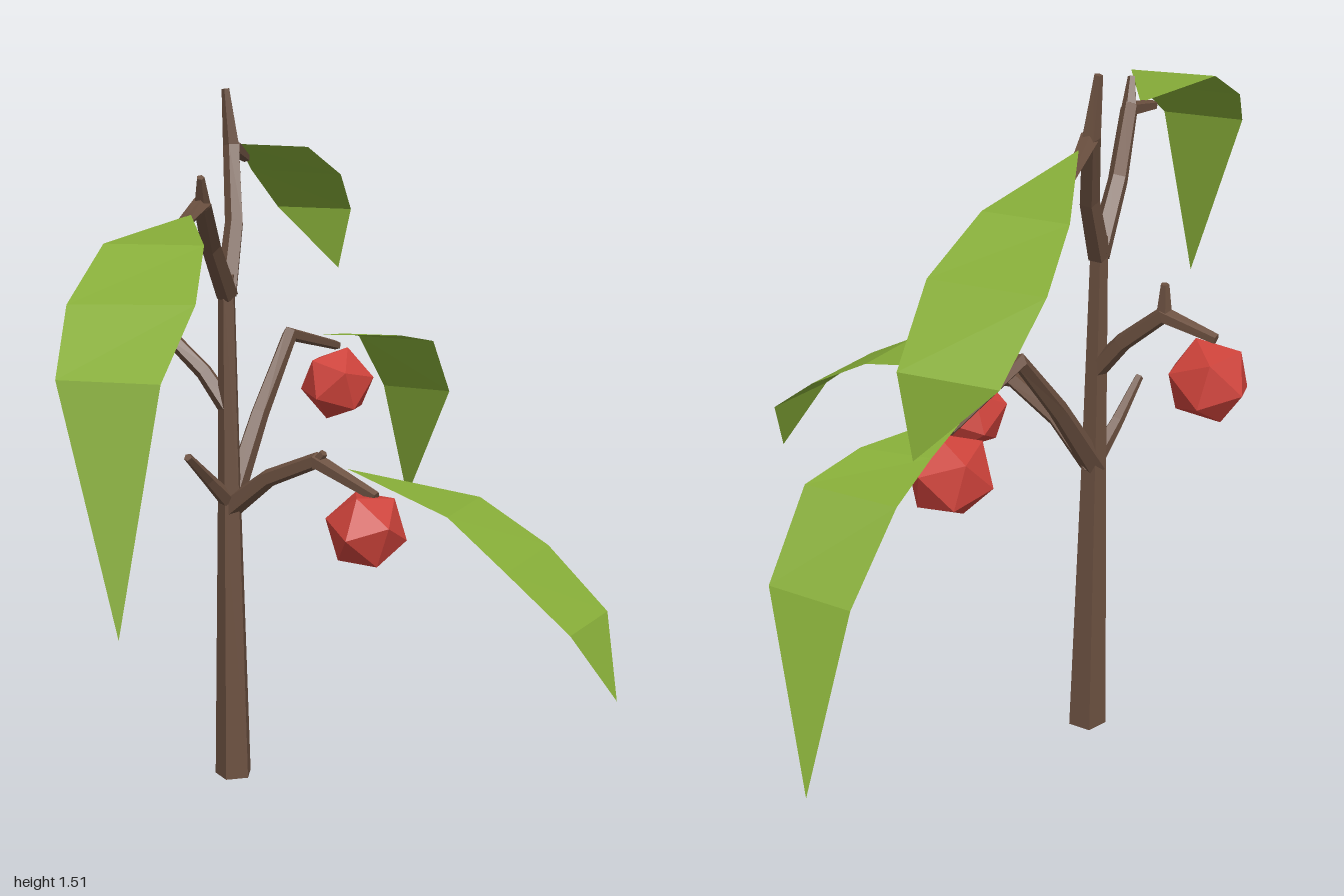
import * as THREE from 'three';

const V = (p) => new THREE.Vector3(...p);
const bark = new THREE.MeshStandardMaterial({ color: 0x6b5040, flatShading: true });
const leafGreen = new THREE.MeshStandardMaterial({ color: 0x86ac38, flatShading: true, side: THREE.DoubleSide });
const fruitRed = new THREE.MeshStandardMaterial({ color: 0xcc423a, flatShading: true });

function geometryFrom(positions, index) {
  const indexed = new THREE.BufferGeometry();
  indexed.setAttribute('position', new THREE.Float32BufferAttribute(positions, 3));
  indexed.setIndex(index);
  const geo = indexed.toNonIndexed();
  geo.computeVertexNormals();
  return geo;
}

// Tapered, capped five-sided limb; each point is [x, y, z, radius]
function limb(points, sides = 5) {
  const pts = points.map((p) => V(p.slice(0, 3)));
  const n = pts.length;
  const span = pts[n - 1].clone().sub(pts[0]);
  const ref = new THREE.Vector3(span.z, 0, -span.x);
  if (ref.length() < 0.02) ref.set(0, 0, 1);
  const pos = [], index = [];
  pts.forEach((p, i) => {
    const before = i ? p.clone().sub(pts[i - 1]).normalize() : new THREE.Vector3();
    const after = i < n - 1 ? pts[i + 1].clone().sub(p).normalize() : new THREE.Vector3();
    const t = before.add(after).normalize();
    const u = ref.clone().addScaledVector(t, -ref.dot(t)).normalize();
    const v = t.clone().cross(u);
    for (let k = 0; k < sides; k++) {
      const a = (k / sides) * Math.PI * 2, r = points[i][3];
      const q = p.clone().addScaledVector(u, Math.cos(a) * r).addScaledVector(v, Math.sin(a) * r);
      pos.push(q.x, q.y, q.z);
      const a0 = i * sides + k, a1 = i * sides + ((k + 1) % sides);
      if (i < n - 1) index.push(a0, a1, a0 + sides, a1, a1 + sides, a0 + sides);
    }
  });
  const last = (n - 1) * sides;
  for (let k = 1; k < sides - 1; k++) {
    index.push(0, k + 1, k, last, last + k, last + k + 1);
  }
  return geometryFrom(pos, index);
}

// Leaf blade: a stem point, pairs of edge points [left, right], and a tip
function leaf(stem, pairs, tip) {
  const pos = [...stem, ...pairs.flat(2), ...tip];
  const index = [0, 1, 2];
  const m = pairs.length;
  for (let i = 0; i < m - 1; i++) {
    const a = 1 + i * 2;
    index.push(a, a + 2, a + 1, a + 1, a + 2, a + 3);
  }
  index.push(m * 2 - 1, m * 2 + 1, m * 2);
  return geometryFrom(pos, index);
}

export function createModel() {
  const tree = new THREE.Group();
  tree.name = 'fruitTree';
  const add = (name, geo, mat) => {
    const mesh = new THREE.Mesh(geo, mat);
    mesh.name = name;
    tree.add(mesh);
    return mesh;
  };

  // Trunk and branches
  const limbs = {
    trunk: [[-0.3, 0, 0.005, 0.042], [-0.3, 0.63, 0.005, 0.027], [-0.3, 1.13, 0.005, 0.018]],
    rightBranch: [[-0.3, 0.62, 0.005, 0.026], [-0.2, 0.7, 0.025, 0.02], [-0.08, 0.755, 0.045, 0.019], [0.07, 0.7, 0.08, 0.012]],
    rightBranchTwig: [[-0.085, 0.745, 0.045, 0.015], [-0.06, 0.775, 0.05, 0.009]],
    leftBranch: [[-0.3, 0.84, 0.005, 0.022], [-0.36, 0.915, 0, 0.019], [-0.45, 0.995, 0, 0.019], [-0.565, 0.968, 0, 0.011]],
    leftBranchTwig: [[-0.45, 0.985, 0, 0.018], [-0.45, 1.06, 0, 0.009]],
    lowBackBranch: [[-0.3, 0.62, 0.01, 0.026], [-0.29, 0.8, -0.13, 0.021], [-0.275, 0.955, -0.265, 0.018], [-0.25, 0.89, -0.48, 0.011]],
    frontBranch: [[-0.3, 1.09, 0.005, 0.024], [-0.28, 1.21, 0.12, 0.021], [-0.235, 1.315, 0.25, 0.019], [-0.22, 1.283, 0.39, 0.011]],
    frontBranchTwig: [[-0.235, 1.31, 0.25, 0.018], [-0.22, 1.372, 0.285, 0.008]],
    highBackBranch: [[-0.3, 1.09, 0.005, 0.024], [-0.315, 1.23, -0.07, 0.021], [-0.355, 1.385, -0.145, 0.019], [-0.365, 1.505, -0.14, 0.009]],
    highBackTwig: [[-0.35, 1.38, -0.14, 0.019], [-0.38, 1.343, -0.27, 0.01]],
    trunkStub: [[-0.3, 0.63, 0.005, 0.02], [-0.315, 0.7, 0.08, 0.014], [-0.32, 0.768, 0.165, 0.009]],
  };
  for (const [name, points] of Object.entries(limbs)) add(name, limb(points), bark);

  // Drooping leaves
  add('rightLeaf', leaf([0, 0.75, 0.065], [
    [[0.28, 0.71, 0.03], [0.27, 0.71, 0.2]],
    [[0.43, 0.625, 0.035], [0.41, 0.625, 0.25]],
    [[0.57, 0.515, 0.08], [0.545, 0.515, 0.255]],
  ], [0.622, 0.365, 0.18]), leafGreen);
  add('frontLeaf', leaf([-0.22, 1.305, 0.33], [
    [[-0.25, 1.29, 0.63], [-0.07, 1.29, 0.58]],
    [[-0.24, 1.205, 0.79], [-0.015, 1.21, 0.73]],
    [[-0.19, 1.1, 0.925], [-0.005, 1.1, 0.89]],
  ], [-0.04, 0.67, 1]), leafGreen);
  add('highBackLeaf', leaf([-0.365, 1.38, -0.21], [
    [[-0.33, 1.345, -0.5], [-0.495, 1.345, -0.48]],
    [[-0.31, 1.265, -0.65], [-0.535, 1.27, -0.63]],
    [[-0.35, 1.16, -0.81], [-0.535, 1.16, -0.785]],
  ], [-0.39, 1.01, -0.825]), leafGreen);
  add('lowBackLeaf', leaf([-0.27, 0.922, -0.43], [
    [[-0.15, 0.893, -0.63], [-0.285, 0.893, -0.6]],
    [[-0.11, 0.86, -0.75], [-0.3, 0.86, -0.74]],
    [[-0.11, 0.71, -0.87], [-0.285, 0.71, -0.87]],
  ], [-0.27, 0.39, -1]), leafGreen);

  // Faceted fruits hanging from the branch ends
  const fruits = [
    ['leftFruit', [-0.55, 0.875, 0.005], [0.2, 0.3, 0.15]],
    ['rightFruit', [0.05, 0.63, 0.085], [0.5, 0.2, 0.6]],
    ['backFruit', [-0.25, 0.8, -0.48], [0.1, 0.8, 0.2]],
  ];
  for (const [name, at, turn] of fruits) {
    const fruit = add(name, new THREE.IcosahedronGeometry(0.088, 0), fruitRed);
    fruit.position.set(...at);
    fruit.rotation.set(...turn);
  }
  return tree;
}
